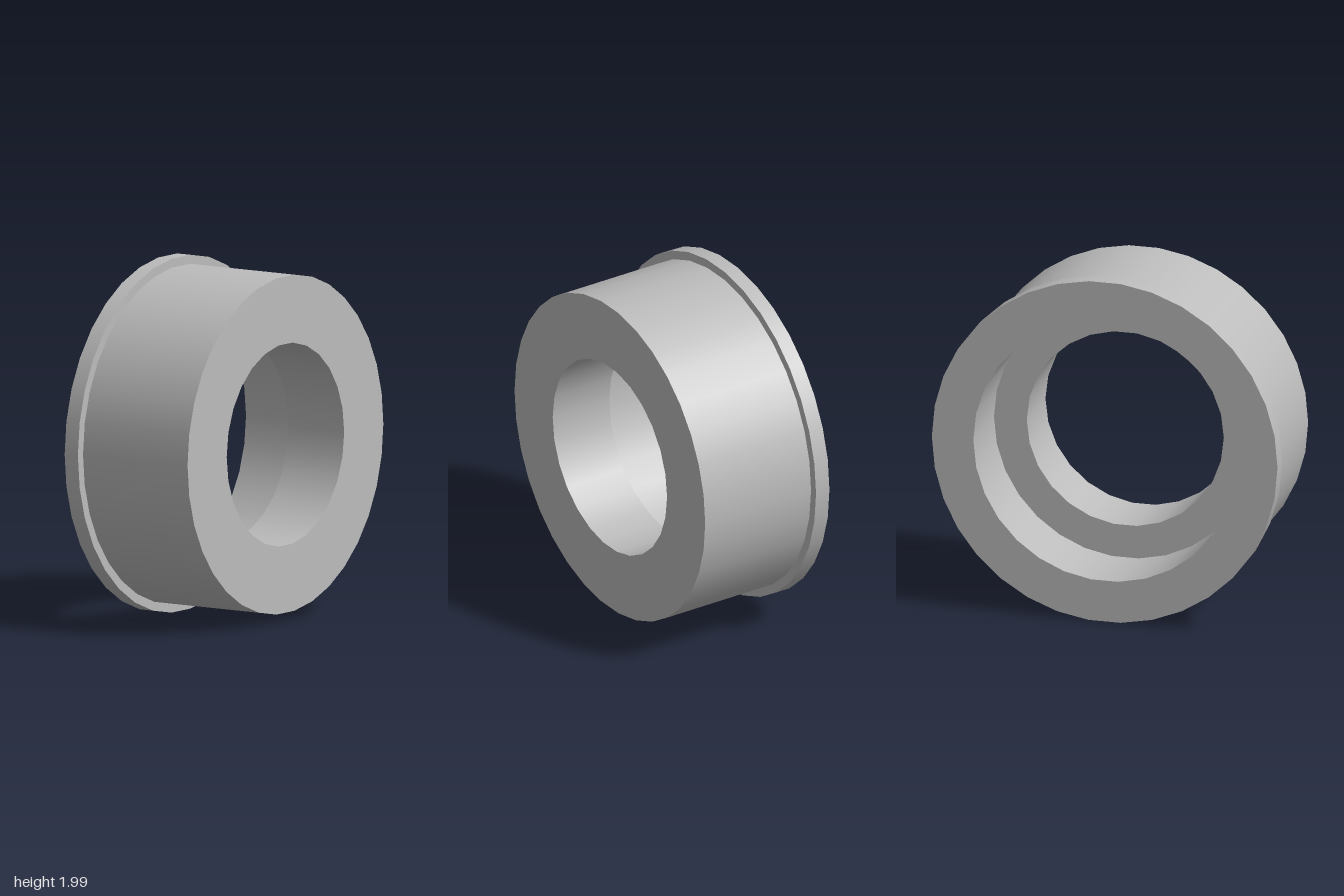
import * as THREE from 'three';

const BACK = -0.4, FLANGE = -0.31, STEP = 0.02, FRONT = 0.4;
const flangeRim = { r: 1.0, n: 34 };
const sleeveRim = { r: 0.95, n: 34 };
const recessRim = { r: 0.76, n: 30 };
const boreRim = { r: 0.57, n: 26 };

// Smooth wall along z; running it from high z to low z makes it face inward.
function wall({ r, n }, z0, z1) {
  const points = [new THREE.Vector2(r, z0), new THREE.Vector2(r, z1)];
  return new THREE.LatheGeometry(points, n, Math.PI / 2).rotateX(Math.PI / 2);
}

function circlePoints({ r, n }) {
  return Array.from({ length: n }, (_, i) => {
    const a = (i / n) * Math.PI * 2;
    return new THREE.Vector2(r * Math.cos(a), r * Math.sin(a));
  });
}

// Flat ring at a given z, facing the front or the back.
function ring(outer, inner, z, facesBack) {
  const shape = new THREE.Shape(circlePoints(outer));
  shape.holes.push(new THREE.Path(circlePoints(inner)));
  const geometry = new THREE.ShapeGeometry(shape);
  if (facesBack) geometry.rotateY(Math.PI);
  return geometry.translate(0, 0, z);
}

export function createModel() {
  const model = new THREE.Group();
  model.name = 'flangedBushing';
  const grey = new THREE.MeshStandardMaterial({ color: 0xbcbcbc });
  grey.name = 'grey';

  const parts = {
    // outside
    flangeEdge: wall(flangeRim, BACK, FLANGE),
    flangeShoulder: ring(flangeRim, sleeveRim, FLANGE, false),
    sleeve: wall(sleeveRim, FLANGE, FRONT),
    frontFace: ring(sleeveRim, boreRim, FRONT, false),
    // inside
    bore: wall(boreRim, FRONT, STEP),
    recessFloor: ring(recessRim, boreRim, STEP, true),
    recessWall: wall(recessRim, STEP, BACK),
    backFace: ring(flangeRim, recessRim, BACK, true),
  };
  for (const [name, geometry] of Object.entries(parts)) {
    const mesh = new THREE.Mesh(geometry, grey);
    mesh.name = name;
    mesh.position.y = 1;
    model.add(mesh);
  }
  return model;
}
